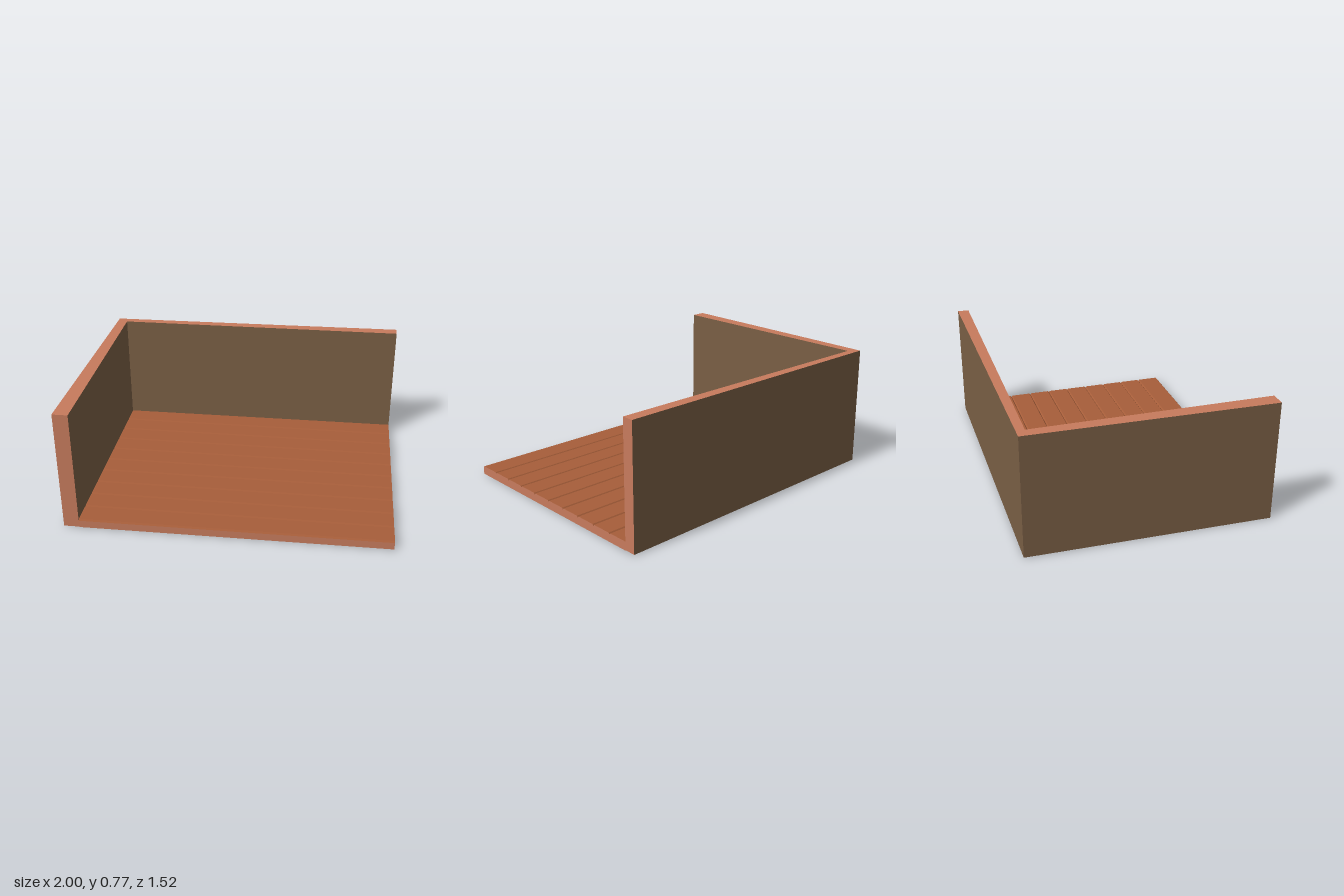
import * as THREE from 'three';

// Prism from a counter-clockwise outline, with one material index per edge (caps use capMat).
function prism(outline, height, capMat, edgeMats) {
  const pos = [];
  const geo = new THREE.BufferGeometry();
  const add = (p, w) => pos.push(p.x, p.y, w);
  const group = (mat, build) => {
    const start = pos.length / 3;
    build();
    geo.addGroup(start, pos.length / 3 - start, mat);
  };
  outline.forEach((a, i) => {
    const b = outline[(i + 1) % outline.length];
    group(edgeMats[i], () => {
      add(a, 0); add(b, 0); add(b, height);
      add(a, 0); add(b, height); add(a, height);
    });
  });
  group(capMat, () => {
    for (const [i, j, k] of THREE.ShapeUtils.triangulateShape(outline, [])) {
      add(outline[i], height); add(outline[j], height); add(outline[k], height);
      add(outline[k], 0); add(outline[j], 0); add(outline[i], 0);
    }
  });
  geo.setAttribute('position', new THREE.Float32BufferAttribute(pos, 3));
  geo.computeVertexNormals();
  return geo;
}

export function createModel() {
  const material = (name, color) => new THREE.MeshStandardMaterial({ name, color });
  const materials = [
    material('terracotta trim', 0xc77b5d),
    material('olive brown wall', 0x7a5f45),
    material('orange brown decking', 0xa75e3a),
  ];
  const [TRIM, WALL, DECK] = [0, 1, 2];
  const P = (x, y) => new THREE.Vector2(x, y);
  const model = new THREE.Group();
  model.name = 'deckCorner';

  // L-shaped wall, slightly tapered in plan: outline in (x, -z)
  const wallPlan = [
    P(-1, -0.757), P(-0.905, -0.757), P(-0.905, 0.69),
    P(0.997, 0.69), P(0.997, 0.763), P(-0.97, 0.74),
  ];
  const wallGeo = prism(wallPlan, 0.767, TRIM, [TRIM, WALL, WALL, TRIM, WALL, WALL]);
  wallGeo.rotateX(-Math.PI / 2).translate(0, 0.003, 0);
  const walls = new THREE.Mesh(wallGeo, materials);
  walls.name = 'cornerWall';
  model.add(walls);

  // Plank floor: outline in (-z, y), with V grooves between planks
  const top = 0.055, front = 0.757, pitch = 0.1447, half = 0.008, depth = 0.009;
  const section = [P(-front, 0), P(0.69, 0), P(0.69, top)];
  for (let i = 0; i < 9; i++) {
    const u = 0.553 - i * pitch;
    section.push(P(u + half, top), P(u, top - depth), P(u - half, top));
  }
  section.push(P(-front + half, top), P(-front, top - depth));
  const sides = section.map((_, i) => (i === section.length - 1 ? TRIM : DECK));
  const floorGeo = prism(section, 1.902, TRIM, sides);
  floorGeo.rotateY(Math.PI / 2).translate(-0.905, 0, 0);
  const floor = new THREE.Mesh(floorGeo, materials);
  floor.name = 'plankFloor';
  model.add(floor);

  return model;
}
